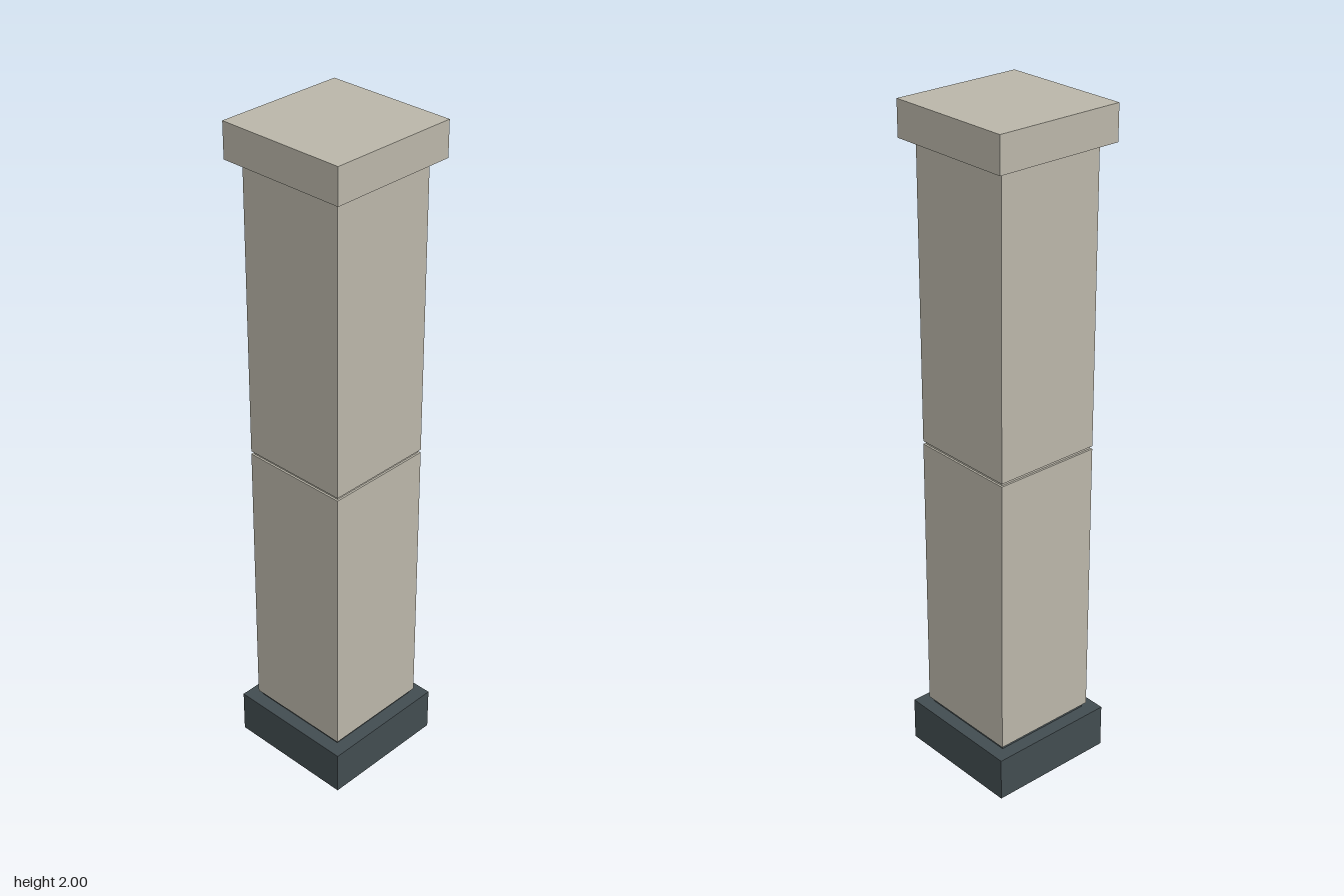
import * as THREE from 'three';

export function createModel() {
  const model = new THREE.Group();
  model.name = 'squarePillar';

  const stone = new THREE.MeshStandardMaterial({ color: 0xbab6a9 });
  stone.name = 'warm grey stone';
  const slate = new THREE.MeshStandardMaterial({ color: 0x424c50 });
  slate.name = 'dark slate';

  // Square block between two heights
  const block = (name, width, bottom, top, material) => {
    const mesh = new THREE.Mesh(new THREE.BoxGeometry(width, top - bottom, width), material);
    mesh.name = name;
    mesh.position.y = (bottom + top) / 2;
    model.add(mesh);
  };

  // Plinth and its recessed joint
  block('plinth', 0.4, 0, 0.135, slate);
  block('lowerJoint', 0.316, 0.135, 0.149, slate);

  // Two shaft blocks with a narrow groove between them
  block('lowerShaft', 0.334, 0.149, 1.011, stone);
  block('middleGroove', 0.322, 1.011, 1.02, stone);
  block('upperShaft', 0.334, 1.02, 1.881, stone);

  // Recessed joint and cap
  block('upperJoint', 0.316, 1.881, 1.896, slate);
  block('cap', 0.4, 1.896, 2, stone);

  return model;
}
